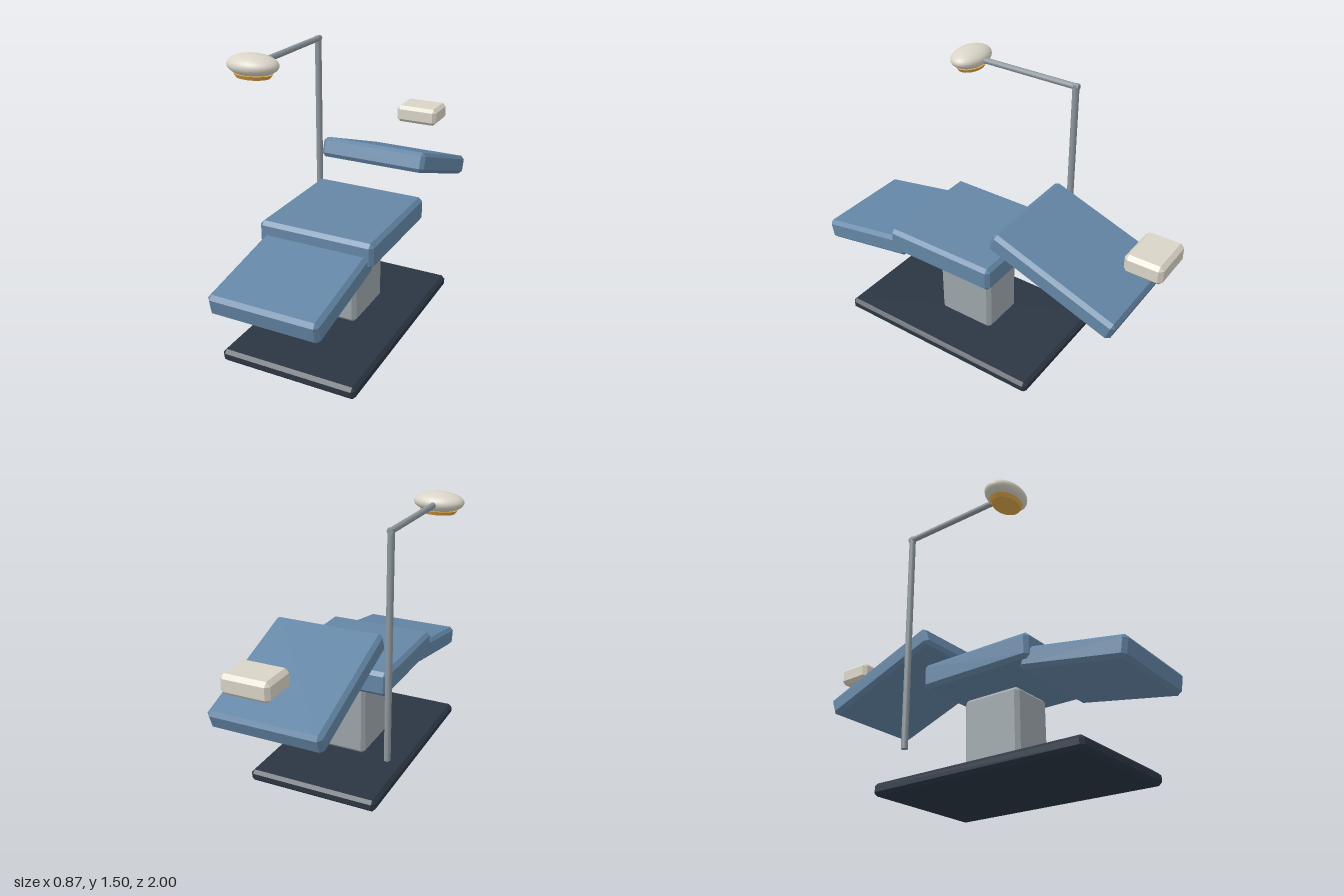
import * as THREE from 'three';
import { ConvexGeometry } from 'three/addons/geometries/ConvexGeometry.js';

const mat = (color) => new THREE.MeshStandardMaterial({ color });

// Box with chamfered edges: every corner is cut into three points
function chamferBox(w, h, d, c) {
  const pts = [];
  for (const sx of [-1, 1]) for (const sy of [-1, 1]) for (const sz of [-1, 1]) {
    for (let axis = 0; axis < 3; axis++) {
      const inset = [c, c, c];
      inset[axis] = 0;
      pts.push(new THREE.Vector3(
        sx * (w / 2 - inset[0]), sy * (h / 2 - inset[1]), sz * (d / 2 - inset[2])));
    }
  }
  return new ConvexGeometry(pts);
}

export function createModel() {
  const group = new THREE.Group();
  const blue = mat(0x6486a6), dark = mat(0x2b3643), grey = mat(0x9ca5aa);
  const metal = mat(0x8d979e), cream = mat(0xd9d4c7), amber = mat(0xe0a84a);

  function add(name, geometry, material, x, y, z, tilt = 0) {
    const mesh = new THREE.Mesh(geometry, material);
    mesh.name = name;
    mesh.position.set(x, y, z);
    mesh.rotation.x = tilt;
    group.add(mesh);
    return mesh;
  }

  // Floor plate and lifting column
  add('basePlate', chamferBox(0.74, 0.066, 1.23, 0.018), dark, 0.06, 0.033, 0.185);
  add('pedestal', chamferBox(0.265, 0.415, 0.34, 0.02), grey, 0.06, 0.285, 0.135);

  // Reclined cushions
  add('seat', chamferBox(0.63, 0.135, 0.655, 0.02), blue, 0.06, 0.597, 0.167);
  add('legRest', chamferBox(0.58, 0.115, 0.57, 0.02), blue, 0.06, 0.498, 0.712, 0.175);
  add('backRest', chamferBox(0.61, 0.11, 0.742, 0.02), blue, 0.06, 0.726, -0.512, -0.35);
  add('headRest', chamferBox(0.255, 0.102, 0.2, 0.02), cream, 0.06, 0.886, -0.9);

  // Lamp post and horizontal arm
  add('lampPost', new THREE.CylinderGeometry(0.018, 0.018, 1.245, 12), metal, -0.297, 0.8325, -0.232);
  add('lampArm', new THREE.CylinderGeometry(0.016, 0.016, 0.64, 12), metal, -0.297, 1.443, 0.07, Math.PI / 2);

  // Oval lamp head with its lens underneath
  add('lampHead', new THREE.SphereGeometry(1, 32, 20), cream, -0.297, 1.446, 0.42)
    .scale.set(0.138, 0.054, 0.094);
  add('lampLens', new THREE.CylinderGeometry(0.105, 0.09, 0.02, 32), amber, -0.297, 1.395, 0.42)
    .scale.z = 0.69;

  return group;
}
